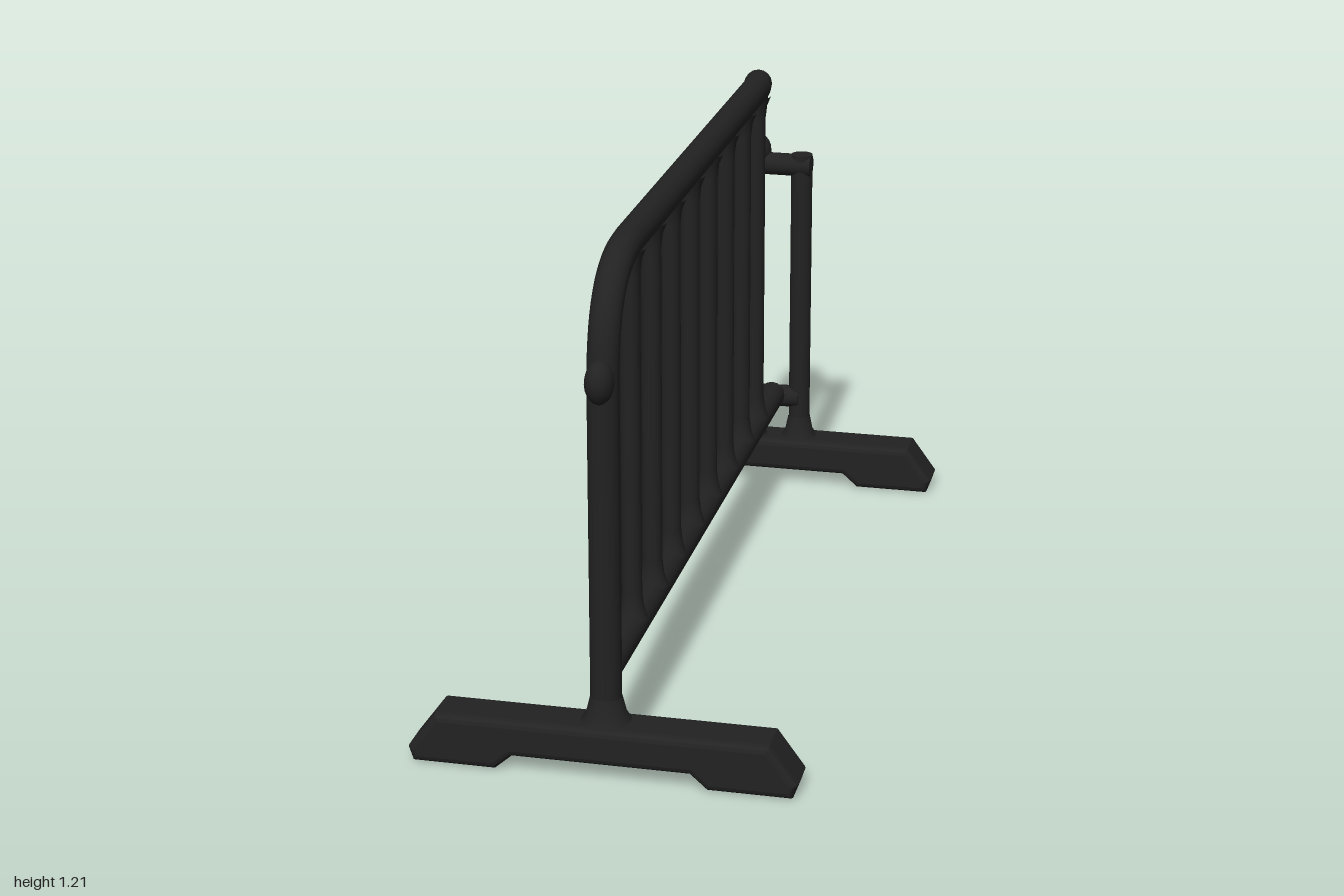
import * as THREE from 'three';

const V = (x, y, z) => new THREE.Vector3(x, y, z);

export function createModel() {
  const group = new THREE.Group();
  const black = new THREE.MeshStandardMaterial({ color: 0x222222 });
  black.name = 'black metal';

  const add = (name, geometry, x = 0, y = 0, z = 0) => {
    const mesh = new THREE.Mesh(geometry, black);
    mesh.name = name;
    mesh.position.set(x, y, z);
    group.add(mesh);
    return mesh;
  };

  // Straight round bar between two points
  const bar = (name, a, b, r) => {
    const mesh = add(name, new THREE.CylinderGeometry(r, r, a.distanceTo(b), 16));
    mesh.position.copy(a).add(b).multiplyScalar(0.5);
    mesh.quaternion.setFromUnitVectors(V(0, 1, 0), b.clone().sub(a).normalize());
    return mesh;
  };

  // Bent main tube: front post, top rail and the back post that swings sideways
  const path = new THREE.CurvePath();
  path.add(new THREE.LineCurve3(V(0, 0.08, 0.925), V(0, 0.9, 0.925)));
  path.add(new THREE.CubicBezierCurve3(V(0, 0.9, 0.925), V(0, 1.08, 0.925), V(0, 1.17, 0.85), V(0, 1.17, 0.68)));
  path.add(new THREE.LineCurve3(V(0, 1.17, 0.68), V(0, 1.17, -0.68)));
  path.add(new THREE.CubicBezierCurve3(V(0, 1.17, -0.68), V(-0.02, 1.17, -0.85), V(-0.074, 1.08, -0.925), V(-0.074, 0.9, -0.925)));
  path.add(new THREE.LineCurve3(V(-0.074, 0.9, -0.925), V(-0.074, 0.08, -0.925)));
  add('frameTube', new THREE.TubeGeometry(path, 160, 0.036, 16));

  // Bottom rail
  bar('bottomRail', V(0, 0.245, 0.925), V(0, 0.245, -0.915), 0.035);

  // Upright bars, flared at the welds
  const picketProfile = [
    [0.038, 0.265], [0.028, 0.295], [0.024, 0.33], [0.024, 1.09], [0.028, 1.125], [0.038, 1.15],
  ].map(([r, y]) => new THREE.Vector2(r, y));
  const picket = new THREE.LatheGeometry(picketProfile, 14);
  [0.685, 0.487, 0.295, 0.095, -0.1, -0.295, -0.495, -0.675].forEach((z, i) => add('picket' + (i + 1), picket, 0, 0, z));

  // Side loop beside the back post
  bar('loopPost', V(0.07, 0.08, -0.945), V(0.07, 0.925, -0.945), 0.029);
  bar('loopTop', V(-0.074, 0.895, -0.943), V(0.096, 0.895, -0.943), 0.03);
  bar('loopBrace', V(-0.074, 0.235, -0.93), V(0.07, 0.235, -0.94), 0.03);

  // Flared welds where the posts meet the feet
  const weldProfile = [[0.062, 0.115], [0.046, 0.14], [0.036, 0.18]].map(([r, y]) => new THREE.Vector2(r, y));
  const weld = new THREE.LatheGeometry(weldProfile, 16);
  add('frontWeld', weld, 0, 0, 0.925);
  add('backWeld', weld, -0.074, 0, -0.925);
  add('loopWeld', weld, 0.07, 0, -0.945).scale.set(0.82, 1, 0.82);

  // Small coupling lugs on the outer side of each end
  const lug = new THREE.SphereGeometry(1, 14, 10);
  add('frontLug', lug, 0, 0.93, 0.955).scale.set(0.033, 0.05, 0.042);
  add('backLug', lug, -0.055, 0.925, -0.95).scale.set(0.04, 0.05, 0.046);

  // Feet: bar with raised middle and sloped toes
  const foot = new THREE.Shape();
  const half = [[0.21, 0.055], [0.25, 0.02], [0.425, 0.02], [0.43, 0.035], [0.375, 0.11]];
  half.forEach(([x, y], i) => (i ? foot.lineTo(x, y) : foot.moveTo(x, y)));
  half.slice().reverse().forEach(([x, y]) => foot.lineTo(-x, y));
  foot.closePath();
  const footGeometry = new THREE.ExtrudeGeometry(foot, {
    depth: 0.08, bevelEnabled: true, bevelThickness: 0.02, bevelSize: 0.016, bevelSegments: 3,
  });
  footGeometry.translate(0, -0.004, -0.04);
  add('frontFoot', footGeometry, 0, 0, 0.935);
  add('backFoot', footGeometry, 0, 0, -0.94);

  return group;
}
